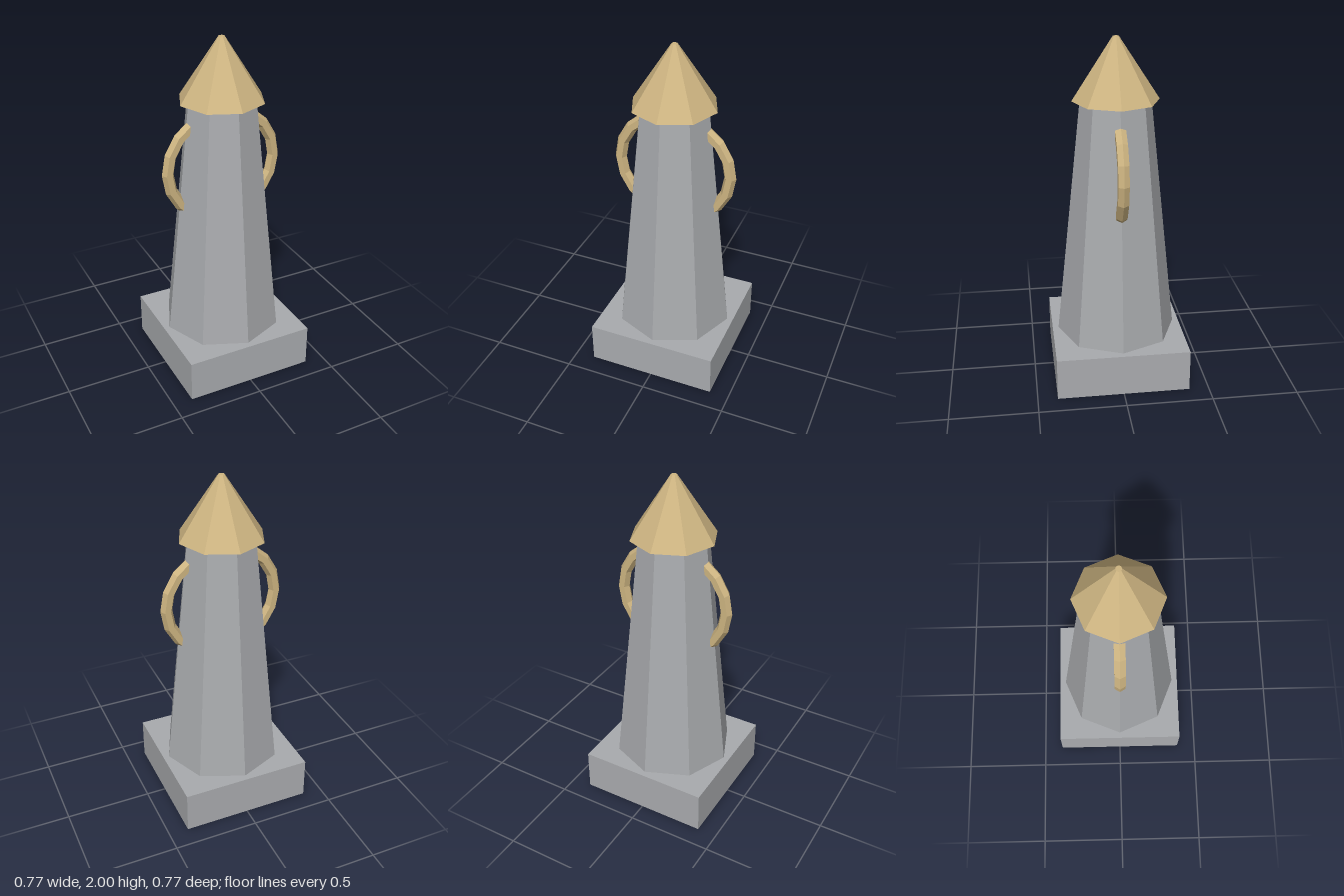
import * as THREE from 'three';

export function createModel() {
  const model = new THREE.Group();
  model.name = 'tower';

  const stone = new THREE.MeshStandardMaterial({ color: 0xa9abae, flatShading: true });
  stone.name = 'stone grey';
  const gold = new THREE.MeshStandardMaterial({ color: 0xcdb481, flatShading: true });
  gold.name = 'pale gold';

  const add = (name, geometry, material, x, y) => {
    const mesh = new THREE.Mesh(geometry, material);
    mesh.name = name;
    mesh.position.set(x, y, 0);
    model.add(mesh);
    return mesh;
  };

  // Square plinth
  add('plinth', new THREE.BoxGeometry(0.77, 0.25, 0.77), stone, 0, 0.125);

  // Tapered eight-sided shaft
  add('shaft', new THREE.CylinderGeometry(0.2, 0.35, 1.4, 8), stone, 0, 0.95);

  // Pointed roof with a tiny flat tip
  add('roof', new THREE.CylinderGeometry(0.017, 0.245, 0.35, 8), gold, 0, 1.825);

  // Curved six-sided handles whose ends run into the shaft
  const arc = THREE.MathUtils.degToRad(120);
  for (const [name, side] of [['leftHandle', 1], ['rightHandle', -1]]) {
    const ring = new THREE.TorusGeometry(0.31, 0.035, 6, 6, arc);
    ring.rotateZ(-arc / 2 + (side < 0 ? Math.PI : 0));
    add(name, ring, gold, side * 0.02, 1.265);
  }

  return model;
}
